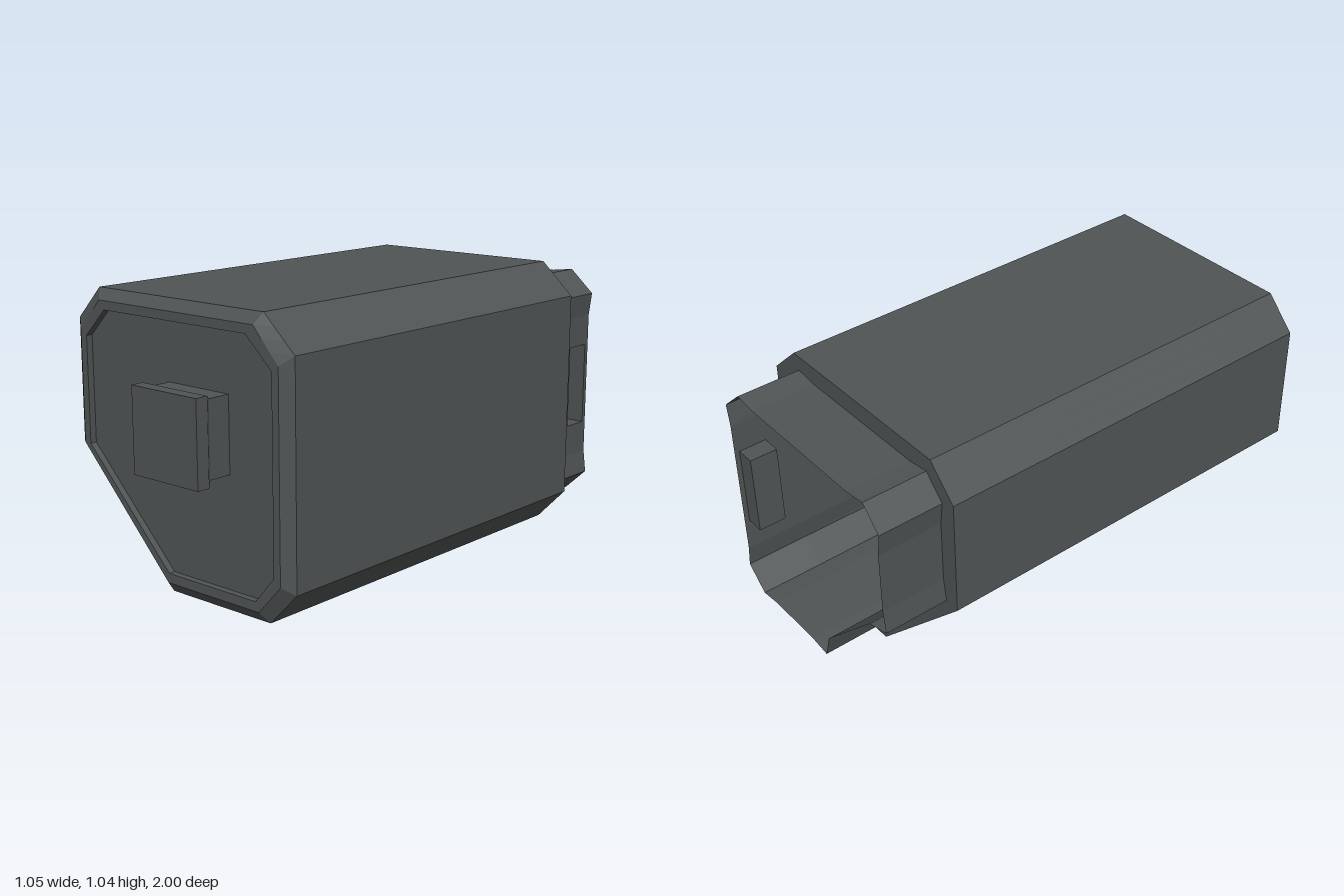
import * as THREE from 'three';

// Eight-corner outlines, counter-clockwise from the lower end of the +x side
const BODY = [[0.525, 0.125], [0.525, 0.92], [0.39, 1.045], [-0.41, 1.045], [-0.525, 0.925], [-0.525, 0.47], [-0.065, 0], [0.405, 0]];
const BEVEL = [[0.48, 0.15], [0.48, 0.885], [0.37, 1.005], [-0.38, 1.005], [-0.485, 0.89], [-0.485, 0.475], [-0.06, 0.04], [0.38, 0.04]];
const PANEL = [[0.45, 0.175], [0.45, 0.865], [0.335, 0.972], [-0.355, 0.972], [-0.455, 0.87], [-0.455, 0.475], [-0.055, 0.075], [0.365, 0.075]];
const COLLAR = [[0.465, 0.145], [0.465, 0.895], [0.365, 0.985], [-0.385, 0.985], [-0.465, 0.9], [-0.465, 0.475], [-0.05, 0.06], [0.375, 0.06]];
// How far the middle of each collar side dips inward
const DIPS = [0.012, 0, 0.012, 0, 0.012, 0.05, 0.012, 0];

// Three points per side: the corner and the two ends of the dipped middle
function ring(outline, z, dips = [], scale = 1) {
  const pts = [];
  outline.forEach(([x, y], i) => {
    const [qx, qy] = outline[(i + 1) % outline.length];
    const len = Math.hypot(qx - x, qy - y);
    const ux = (qx - x) / len, uy = (qy - y) / len;
    const d = dips[i] || 0, step = Math.min(0.09, len / 3);
    for (const [t, k] of [[0, 0], [step, d], [len - step, d]]) {
      const px = x + ux * t - uy * k, py = y + uy * t + ux * k;
      pts.push([px * scale, 0.52 + (py - 0.52) * scale, z]);
    }
  });
  return pts;
}

// Skin between rings, with an optional cap on the last and one optional gap
function loft(rings, cap = false, gap = -1) {
  const pos = [];
  const n = rings[0].length;
  for (let r = 0; r < rings.length - 1; r++) {
    for (let i = 0; i < n; i++) {
      if (i === gap) continue;
      const j = (i + 1) % n;
      const a = rings[r][i], b = rings[r][j], c = rings[r + 1][j], d = rings[r + 1][i];
      pos.push(...a, ...b, ...c, ...a, ...c, ...d);
    }
  }
  if (cap) {
    const last = rings[rings.length - 1];
    const mid = [0, 0.52, last[0][2]];
    for (let i = 0; i < n; i++) pos.push(...mid, ...last[i], ...last[(i + 1) % n]);
  }
  const g = new THREE.BufferGeometry();
  g.setAttribute('position', new THREE.Float32BufferAttribute(pos, 3));
  g.computeVertexNormals();
  return g;
}

export function createModel() {
  const model = new THREE.Group();
  const charcoal = new THREE.MeshStandardMaterial({ color: 0x505454, flatShading: true, side: THREE.DoubleSide });
  charcoal.name = 'charcoal';
  const add = (name, geometry) => {
    const mesh = new THREE.Mesh(geometry, charcoal);
    mesh.name = name;
    model.add(mesh);
    return mesh;
  };

  // Outer casing with rear shoulder, front bevel and sunken front panel
  add('casing', loft([
    ring(COLLAR, -0.75, DIPS), ring(BODY, -0.75), ring(BODY, 0.835),
    ring(BEVEL, 0.865), ring(PANEL, 0.865), ring(PANEL, 0.84),
  ], true));

  // Thin open collar at the back; its left side is a separate plate
  add('rearCollar', loft([ring(COLLAR, -1, DIPS), ring(COLLAR, -0.75, DIPS)], false, 1));

  // Left collar plate with a cut-out, drawn in z (as -x) and y
  const wallX = 0.465 - DIPS[0];
  const plate = new THREE.Shape([[0.75, 0.235], [1, 0.235], [1, 0.805], [0.75, 0.805]].map(p => new THREE.Vector2(...p)));
  plate.holes.push(new THREE.Path([[0.87, 0.36], [0.87, 0.685], [0.98, 0.685], [0.98, 0.36]].map(p => new THREE.Vector2(...p))));
  const plateMesh = add('collarSidePlate', new THREE.ShapeGeometry(plate));
  plateMesh.rotation.y = Math.PI / 2;
  plateMesh.position.x = wallX;

  // Latch pocket behind the cut-out, open on its outer side
  const pocket = new THREE.BoxGeometry(0.075, 0.325, 0.11);
  pocket.setIndex(Array.from(pocket.index.array).slice(6));
  pocket.clearGroups();
  add('latchPocket', pocket).position.set(wallX - 0.0375, 0.5225, -0.925);

  // Deep hollow inside the casing
  add('innerCavity', loft([ring(COLLAR, -0.75, DIPS), ring(COLLAR, 0.8, [], 0.95)], true));

  // Square front button: stem, flare and head
  const square = (x0, x1, y0, y1, z) => [[x1, y0, z], [x1, y1, z], [x0, y1, z], [x0, y0, z]];
  const button = [
    square(-0.055, 0.23, 0.48, 0.755, 0.83), square(-0.055, 0.23, 0.48, 0.755, 0.93),
    square(-0.065, 0.245, 0.46, 0.77, 0.95), square(-0.065, 0.245, 0.46, 0.77, 1),
  ];
  add('frontButton', loft(button));
  const face = add('frontButtonFace', new THREE.PlaneGeometry(0.31, 0.31));
  face.position.set(0.09, 0.615, 1);

  return model;
}
